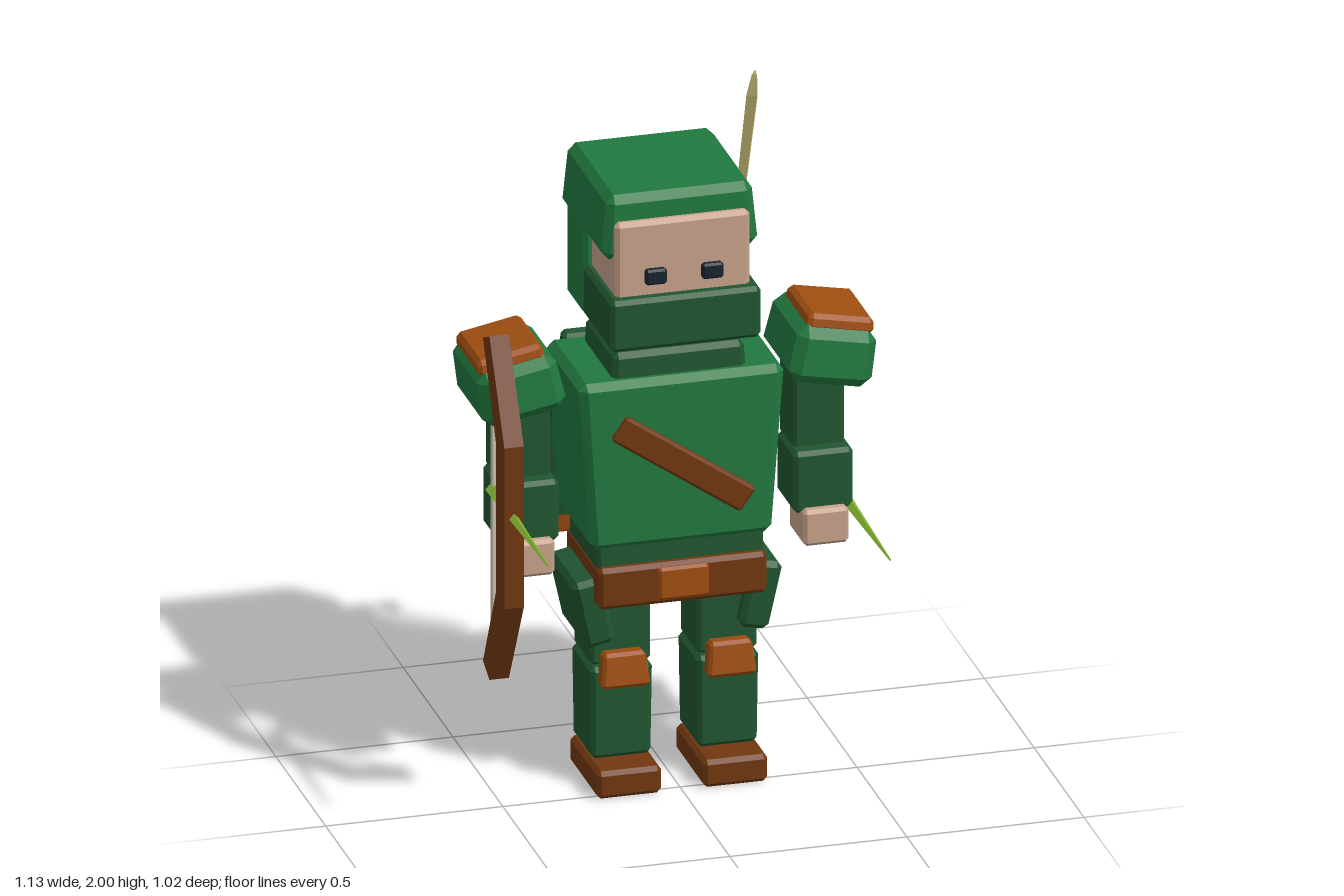
import * as THREE from 'three';
import { ConvexGeometry } from 'three/addons/geometries/ConvexGeometry.js';

const material = (name, color) => {
  const m = new THREE.MeshStandardMaterial({ color });
  m.name = name;
  return m;
};

// Box with chamfered edges; the top is scaled by taper in x and taperZ in z.
function chamferBox(w, h, d, bevel = 0.015, taper = 1, taperZ = taper) {
  const b = Math.min(bevel, w * 0.3, h * 0.3, d * 0.3);
  const points = [];
  for (const sx of [-1, 1]) for (const sy of [-1, 1]) for (const sz of [-1, 1])
    for (let axis = 0; axis < 3; axis++) {
      const x = w / 2 - (axis === 0 ? 0 : b);
      const y = h / 2 - (axis === 1 ? 0 : b);
      const z = d / 2 - (axis === 2 ? 0 : b);
      const t = 0.5 + (sy * y) / h;
      points.push(new THREE.Vector3(sx * x * (1 + (taper - 1) * t), sy * y, sz * z * (1 + (taperZ - 1) * t)));
    }
  return new ConvexGeometry(points);
}

function faceted(geometry) {
  const flat = geometry.toNonIndexed();
  flat.computeVertexNormals();
  return flat;
}

export function createModel() {
  const model = new THREE.Group();
  model.name = 'archer';
  const green = material('green cloth', 0x21783f);
  const dark = material('dark green cloth', 0x205530);
  const brown = material('brown leather', 0x70370f);
  const tan = material('orange leather', 0x9e4d10);
  const skin = material('skin', 0xc6a18a);
  const navy = material('eye navy', 0x18222f);
  const cream = material('feather cream', 0xcabd78);
  const red = material('fletching red', 0xcc3c5e);
  const pale = material('pale wood', 0xc9c0ac);
  const lime = material('arrow green', 0x86b833);

  const add = (name, geometry, mat, x = 0, y = 0, z = 0, rx = 0, ry = 0, rz = 0) => {
    const mesh = new THREE.Mesh(geometry, mat);
    mesh.name = name;
    mesh.position.set(x, y, z);
    mesh.rotation.set(rx, ry, rz);
    model.add(mesh);
    return mesh;
  };
  // Upright box given by its bounds
  const block = (name, mat, x0, x1, y0, y1, z0, z1, bevel, taper, taperZ) =>
    add(name, chamferBox(x1 - x0, y1 - y0, z1 - z0, bevel, taper, taperZ), mat,
      (x0 + x1) / 2, (y0 + y1) / 2, (z0 + z1) / 2);

  // Torso, belt and neck
  block('torso', green, -0.255, 0.255, 0.73, 1.225, -0.325, 0.025, 0.02, 1.14, 1.03);
  block('tunicHem', dark, -0.235, 0.235, 0.6, 0.75, -0.28, 0.01, 0.01);
  block('belt', brown, -0.238, 0.238, 0.56, 0.68, -0.3, 0.035, 0.012);
  block('buckle', tan, -0.072, 0.072, 0.575, 0.67, 0.0, 0.045, 0.008);
  block('neckScarf', dark, -0.19, 0.19, 1.2, 1.295, -0.3, 0.0, 0.015, 0.97);
  block('neck', dark, -0.15, 0.15, 1.28, 1.36, -0.27, -0.03, 0.01);
  add('chestStrap', chamferBox(0.44, 0.08, 0.05, 0.008), brown, 0, 0.97, 0.025, 0, 0, -0.605);

  // Head, hood and mask
  block('face', skin, -0.19, 0.19, 1.4, 1.695, -0.3, 0.033, 0.012);
  block('mask', dark, -0.212, 0.212, 1.33, 1.48, -0.25, 0.066, 0.012);
  block('hoodBack', green, -0.213, 0.213, 1.33, 1.68, -0.385, -0.205, 0.012);
  block('hoodTop', green, -0.222, 0.222, 1.58, 1.765, -0.42, 0.015, 0.022, 0.92, 0.97);

  // Legs, arms and shoulders
  for (const s of [-1, 1]) {
    const side = s > 0 ? 'left' : 'right';
    const limb = (part, mat, x, y, z, w, h, d, bevel, taper) =>
      add(side + part, chamferBox(w, h, d, bevel, taper), mat, s * x, y, z);
    limb('Eye', navy, 0.08, 1.535, 0.04, 0.06, 0.045, 0.024, 0.006);
    limb('Boot', brown, 0.15, 0.04, -0.112, 0.182, 0.08, 0.286, 0.012);
    limb('Shin', dark, 0.15, 0.22, -0.148, 0.168, 0.27, 0.195, 0.012, 1.04);
    limb('Thigh', dark, 0.15, 0.49, -0.145, 0.17, 0.26, 0.175, 0.01);
    add(side + 'KneePad', chamferBox(0.14, 0.1, 0.06, 0.01, 0.84), tan, s * 0.15, 0.355, -0.035, -0.1);
    add(side + 'HipGuard', chamferBox(0.085, 0.2, 0.25, 0.015, 1.05), dark, s * 0.235, 0.53, -0.145, 0, 0, -s * 0.2);
    limb('UpperArm', dark, 0.415, 1.04, -0.15, 0.145, 0.24, 0.145, 0.01);
    limb('Forearm', dark, 0.415, 0.843, -0.12, 0.168, 0.18, 0.18, 0.012);
    limb('Hand', skin, 0.415, 0.718, -0.077, 0.128, 0.105, 0.15, 0.01);
    add(side + 'Shoulder', chamferBox(0.242, 0.165, 0.315, 0.03, 0.93), green, s * 0.442, 1.21, -0.155, 0, 0, -s * 0.19);
    add(side + 'ShoulderPlate', chamferBox(0.195, 0.045, 0.242, 0.012, 0.94), tan, s * 0.466, 1.298, -0.15, 0, 0, -s * 0.19);
  }

  // Cape with a leather hem
  add('capeTop', chamferBox(0.5, 0.22, 0.045, 0.01, 0.96), dark, 0, 1.13, -0.35, 0.2);
  add('cape', chamferBox(0.6, 0.46, 0.045, 0.01, 0.85), dark, 0, 0.86, -0.422, 0.25);
  add('capeHem', chamferBox(0.64, 0.085, 0.045, 0.01), tan, 0, 0.625, -0.483, 0.2);

  // Quiver with spare arrows
  const aim = (mesh, from, to) => {
    const a = new THREE.Vector3(...from), b = new THREE.Vector3(...to);
    mesh.position.copy(a).lerp(b, 0.5);
    mesh.quaternion.setFromUnitVectors(new THREE.Vector3(0, 1, 0), b.sub(a).normalize());
  };
  aim(add('quiver', chamferBox(0.095, 0.45, 0.15, 0.012, 1.25, 0.8), brown), [0.25, 0.82, -0.408], [0.17, 1.26, -0.365]);
  for (const x of [0.18, 0.245]) {
    aim(add('spareArrow', chamferBox(0.02, 0.25, 0.02, 0.004), pale), [x + 0.04, 1.17, -0.43], [x - 0.01, 1.39, -0.425]);
    add('spareArrowEnd', chamferBox(0.042, 0.042, 0.042, 0.004), red, x, 1.4, -0.455);
  }

  // Feather: a flat four-sided blade
  const blade = [[0, 0], [0.038, 0.01], [0.046, 0.26], [0.022, 0.315], [0, 0.33]];
  const feather = faceted(new THREE.LatheGeometry(blade.map(p => new THREE.Vector2(...p)), 4));
  feather.scale(0.35, 1, 1);
  feather.translate(0, -0.165, 0);
  feather.computeVertexNormals();
  aim(add('feather', feather, cream), [0.205, 1.685, -0.12], [0.277, 2.0, -0.228]);

  // Bow, string and the two tapered arrows
  const bowShape = new THREE.Shape([
    [0.015, 0.385], [0.165, 0.655], [0.165, 1.13], [0.015, 1.4],
    [-0.05, 1.37], [0.082, 1.11], [0.082, 0.675], [-0.05, 0.415],
  ].map(p => new THREE.Vector2(...p)));
  const bow = new THREE.ExtrudeGeometry(bowShape, { depth: 0.055, bevelEnabled: false });
  add('bow', bow, brown, -0.487, 0, 0, 0, -Math.PI / 2);
  add('bowString', chamferBox(0.016, 0.96, 0.016, 0.003), pale, -0.515, 0.893, -0.035);
  const arrow = faceted(new THREE.CylinderGeometry(0.003, 0.021, 0.56, 4));
  add('bowArrow', arrow, lime, -0.515, 0.92, 0.23, Math.PI / 2);
  add('handArrow', arrow, lime, 0.495, 0.757, 0.07, Math.PI / 2);

  return model;
}
